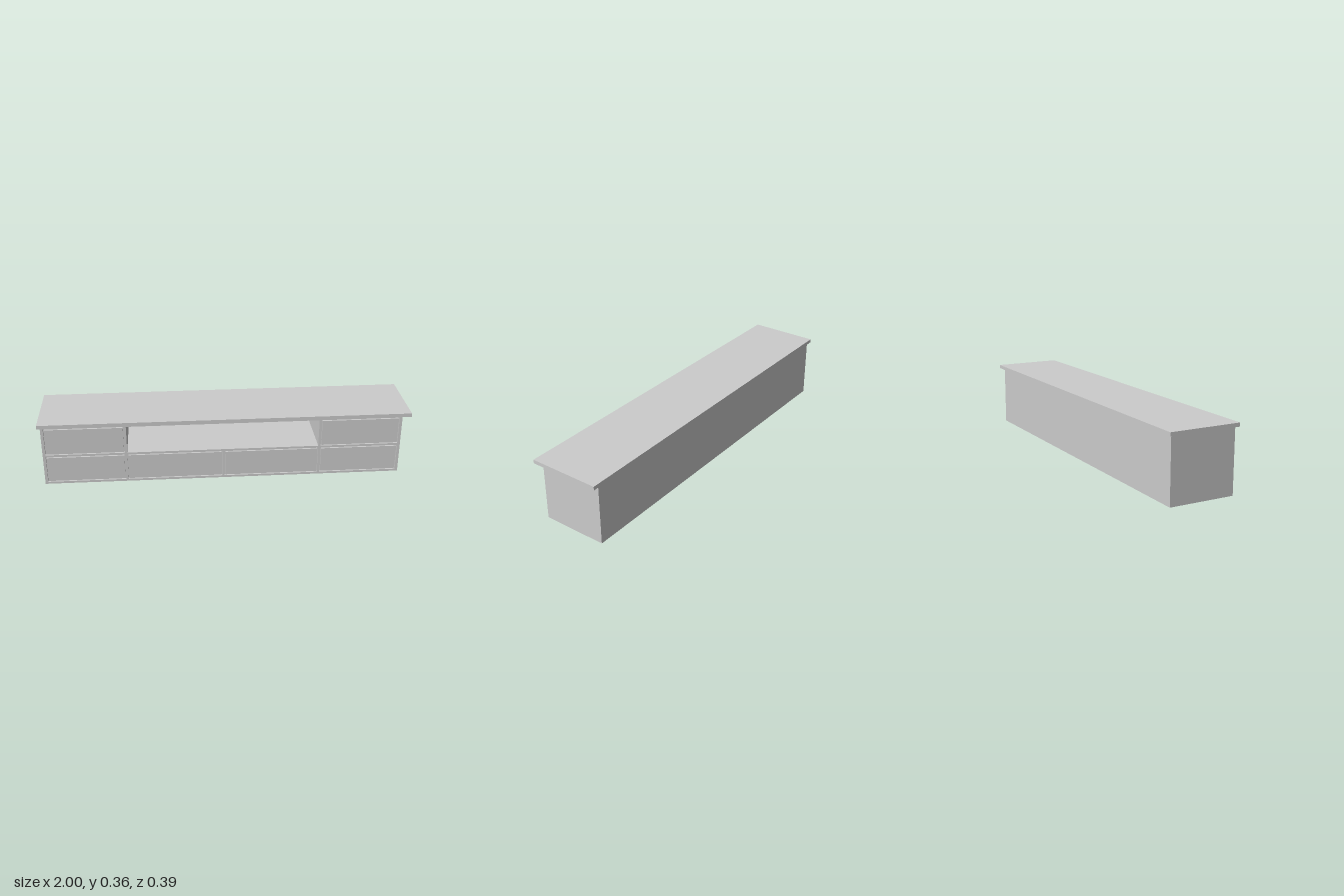
import * as THREE from 'three';

const material = new THREE.MeshStandardMaterial({ color: 0xcccccc, flatShading: true });

// Body extents; the worktop overhangs further on the model's left side
const LEFT = -0.985, RIGHT = 0.955, HEIGHT = 0.34, HALF_DEPTH = 0.178;
const FRAME = 0.012, BACK = 0.012, GAP = 0.005;

// Openings as [x0, x1, y0, y1]
const low = [0.012, 0.163], high = [0.175, 0.33];
const niche = [-0.535, 0.502, ...high];
const drawers = [
  [-0.97, -0.547, ...low], [-0.97, -0.547, ...high],
  [-0.535, -0.023, ...low], [-0.011, 0.502, ...low],
  [0.514, 0.94, ...low], [0.514, 0.94, ...high],
];

function rectangle(PathType, [x0, x1, y0, y1]) {
  const p = new PathType();
  p.moveTo(x0, y0);
  p.lineTo(x1, y0);
  p.lineTo(x1, y1);
  p.lineTo(x0, y1);
  p.closePath();
  return p;
}

function addMesh(parent, name, geometry) {
  const mesh = new THREE.Mesh(geometry, material);
  mesh.name = name;
  parent.add(mesh);
  return mesh;
}

function addBox(parent, name, [x0, x1, y0, y1], z0, z1) {
  const mesh = addMesh(parent, name, new THREE.BoxGeometry(x1 - x0, y1 - y0, z1 - z0));
  mesh.position.set((x0 + x1) / 2, (y0 + y1) / 2, (z0 + z1) / 2);
  return mesh;
}

// Upright slab of the body outline pierced by the given openings
function addPiercedSlab(parent, name, openings, z0, z1) {
  const shape = rectangle(THREE.Shape, [LEFT, RIGHT, 0, HEIGHT]);
  shape.holes = openings.map((o) => rectangle(THREE.Path, o));
  const geometry = new THREE.ExtrudeGeometry(shape, { depth: z1 - z0, bevelEnabled: false });
  addMesh(parent, name, geometry).position.z = z0;
}

export function createModel() {
  const model = new THREE.Group();
  model.name = 'lowCabinet';

  // Worktop
  addBox(model, 'worktop', [-1, 1, HEIGHT, 0.36], -0.193, 0.193);

  // Carcass: back panel, body around the open niche, and face frame
  const frameBack = HALF_DEPTH - FRAME;
  addBox(model, 'backPanel', [LEFT, RIGHT, 0, HEIGHT], -HALF_DEPTH, -HALF_DEPTH + BACK);
  addPiercedSlab(model, 'carcass', [niche], -HALF_DEPTH + BACK, frameBack);
  addPiercedSlab(model, 'faceFrame', [niche, ...drawers], frameBack, HALF_DEPTH);

  // Drawer fronts, inset with a narrow shadow gap
  const fronts = new THREE.Group();
  fronts.name = 'drawerFronts';
  model.add(fronts);
  for (const [x0, x1, y0, y1] of drawers) {
    addBox(fronts, 'drawerFront', [x0 + GAP, x1 - GAP, y0 + GAP, y1 - GAP], frameBack, HALF_DEPTH);
  }
  return model;
}
